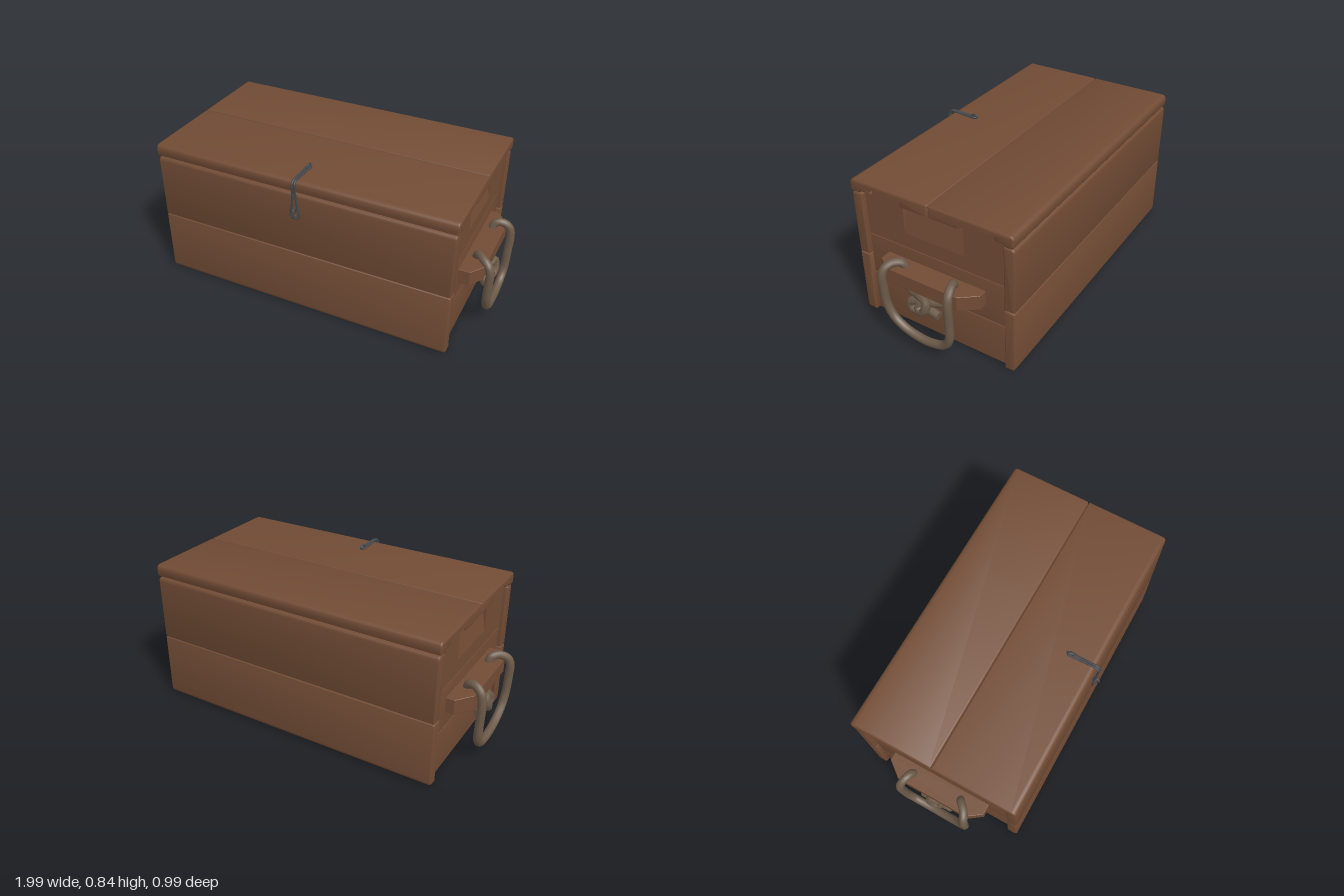
import * as THREE from 'three';
import { toCreasedNormals } from 'three/addons/utils/BufferGeometryUtils.js';

const mat = (name, color) => {
  const m = new THREE.MeshStandardMaterial({ color });
  m.name = name;
  return m;
};

// Closed outline from [x, y, cornerRadius] points
function outline(points) {
  const shape = new THREE.Shape();
  const n = points.length;
  points.forEach(([x, y, r = 0], i) => {
    const p = new THREE.Vector2(x, y);
    const toward = (q) => new THREE.Vector2(q[0], q[1]).sub(p).setLength(r).add(p);
    const a = r ? toward(points[(i + n - 1) % n]) : p;
    const b = r ? toward(points[(i + 1) % n]) : p;
    if (i === 0) shape.moveTo(a.x, a.y);
    else shape.lineTo(a.x, a.y);
    if (r) shape.quadraticCurveTo(x, y, b.x, b.y);
  });
  shape.closePath();
  return shape;
}

// Extrusion whose outer size stays exact when bevelled
function slab(points, length, bevel = 0) {
  const g = new THREE.ExtrudeGeometry(outline(points), {
    depth: length - 2 * bevel, curveSegments: 4, bevelEnabled: bevel > 0,
    bevelSize: bevel, bevelThickness: bevel, bevelOffset: -bevel, bevelSegments: 3,
  });
  return g.translate(0, 0, bevel);
}

// Profile of [z, y, radius] points swept along x, centred on cx
function alongX(points, length, bevel, cx = 0) {
  const g = slab(points.map(([z, y, r]) => [-z, y, r]), length, bevel);
  return toCreasedNormals(g.translate(0, 0, -length / 2).rotateY(Math.PI / 2).translate(cx, 0, 0), 0.6);
}

export function createModel() {
  const model = new THREE.Group();
  model.name = 'chest';
  const wood = mat('wood', 0x724c35);
  const rope = mat('rope', 0x6c5a49);
  const iron = mat('iron', 0x43484c);

  const add = (name, geometry, material, parent = model) => {
    const mesh = new THREE.Mesh(geometry, material);
    mesh.name = name;
    parent.add(mesh);
    return mesh;
  };
  const tube = (name, pts, radius, material, parent, closed = false, segments = 90) => {
    const curve = new THREE.CatmullRomCurve3(pts.map((p) => new THREE.Vector3(...p)), closed, 'centripetal');
    add(name, new THREE.TubeGeometry(curve, segments, radius, 9, closed), material, parent);
    if (closed) return;
    // Flat cut ends
    for (const t of [0, 1]) {
      const cap = add(name + 'End', new THREE.CircleGeometry(radius, 9), material, parent);
      const dir = curve.getTangentAt(t).multiplyScalar(t ? 1 : -1);
      cap.position.copy(curve.getPointAt(t));
      cap.quaternion.setFromUnitVectors(new THREE.Vector3(0, 0, 1), dir);
    }
  };

  // Front and back walls, two planks each, rounded on the outside
  for (const [name, inner, outer] of [['frontPlank', 0.392, 0.455], ['backPlank', -0.432, -0.492]]) {
    add(name + 'Lower', alongX([[inner, 0.004, 0.006], [outer, 0.004, 0.025], [outer, 0.374, 0.008], [inner, 0.374, 0.004]], 1.7, 0.012), wood);
    add(name + 'Upper', alongX([[inner, 0.377, 0.004], [outer, 0.377, 0.008], [outer, 0.745, 0.022], [inner, 0.745, 0.006]], 1.7, 0.012), wood);
  }

  // Bottom board
  const bottom = add('bottomBoard', new THREE.BoxGeometry(1.6, 0.05, 0.84), wood);
  bottom.position.set(0, 0.037, -0.02);

  // Lid planks, notched underneath to sit on the tabs of the end walls
  add('lidFrontPlank', alongX([
    [-0.018, 0.752, 0.006], [0.154, 0.752, 0.006], [0.154, 0.787, 0.006], [0.347, 0.787, 0.006],
    [0.347, 0.762, 0.006], [0.39, 0.762], [0.4, 0.75, 0.006], [0.455, 0.75, 0.02], [0.455, 0.82, 0.028], [-0.018, 0.82, 0.008],
  ], 1.71, 0.01), wood);
  add('lidBackPlank', alongX([
    [-0.022, 0.752, 0.006], [-0.198, 0.752, 0.006], [-0.198, 0.787, 0.006], [-0.388, 0.787, 0.006],
    [-0.388, 0.762, 0.006], [-0.43, 0.762], [-0.44, 0.75, 0.006], [-0.492, 0.75, 0.02], [-0.492, 0.82, 0.028], [-0.022, 0.82, 0.008],
  ], 1.71, 0.01), wood);

  // End walls and rope handles, built for each side
  for (const s of [1, -1]) {
    const end = new THREE.Group();
    end.name = s > 0 ? 'leftEnd' : 'rightEnd';
    model.add(end);
    const cx = s * 0.795;

    for (const [y0, y1] of [[0.008, 0.249], [0.252, 0.498]]) {
      add('endPlank', alongX([[0.39, y0], [0.39, y1], [-0.43, y1], [-0.43, y0]], 0.06, 0.003, cx), wood, end);
    }
    // Top plank: two tabs with a finger scoop sloping inwards between them
    add('frontTab', alongX([[0.39, 0.501], [0.39, 0.745], [0.343, 0.745], [0.343, 0.785, 0.008], [0.155, 0.785, 0.008], [0.155, 0.501]], 0.06, 0, cx), wood, end);
    add('backTab', alongX([[-0.43, 0.501], [-0.43, 0.745], [-0.384, 0.745], [-0.384, 0.785, 0.008], [-0.2, 0.785, 0.008], [-0.2, 0.501]], 0.06, 0, cx), wood, end);
    const scoop = [[0.765, 0.501], [0.825, 0.501], [0.825, 0.585], [0.79, 0.755], [0.765, 0.755]];
    add('fingerScoop', slab(scoop.map(([x, y]) => [s * x, y]), 0.355).translate(0, 0, -0.2), wood, end);

    // Handle bar with tapered ends
    const bar = [[0.82, 0.275], [0.885, 0.275], [0.938, 0.2], [0.938, -0.225], [0.87, -0.314], [0.82, -0.314]];
    add('handleBar', slab(bar.map(([x, z]) => [s * x, -z]), 0.084, 0.004).rotateX(-Math.PI / 2).translate(0, 0.342, 0), wood, end);

    // Rope: from the tail through the knot, up over the bar, round the loop and back
    const path = [
      [0.92, 0.24, -0.1], [0.92, 0.25, -0.04], [0.92, 0.22, 0.02], [0.92, 0.222, 0.065], [0.92, 0.255, 0.075],
      [0.915, 0.28, 0.03], [0.9, 0.285, -0.04], [0.885, 0.305, -0.12], [0.875, 0.335, -0.16], [0.872, 0.41, -0.162],
      [0.885, 0.45, -0.172], [0.92, 0.457, -0.183], [0.958, 0.43, -0.194], [0.97, 0.38, -0.197], [0.968, 0.27, -0.195],
      [0.964, 0.16, -0.188], [0.96, 0.105, -0.15], [0.958, 0.078, -0.07], [0.958, 0.076, -0.01], [0.96, 0.1, 0.085],
      [0.963, 0.15, 0.155], [0.967, 0.22, 0.19], [0.97, 0.32, 0.2], [0.97, 0.4, 0.2], [0.955, 0.435, 0.195],
      [0.92, 0.455, 0.175], [0.885, 0.45, 0.14], [0.872, 0.41, 0.128], [0.873, 0.345, 0.14], [0.885, 0.317, 0.11],
      [0.9, 0.302, 0.05], [0.925, 0.316, 0], [0.935, 0.315, -0.035], [0.945, 0.27, -0.035], [0.94, 0.235, -0.005],
      [0.93, 0.25, 0.02], [0.92, 0.29, 0.012],
    ];
    tube('handleRope', path.map(([x, y, z]) => [s * x, y, z]), 0.023, rope, end, false, 150);
  }

  // Wire clasp: a doubled wire over the lid edge, widening into a loop in front
  const clasp = new THREE.Group();
  clasp.name = 'clasp';
  model.add(clasp);
  const half = [
    [0.008, 0.826, 0.295], [0.007, 0.825, 0.36], [0.006, 0.828, 0.455], [0.007, 0.815, 0.474],
    [0.008, 0.76, 0.473], [0.014, 0.69, 0.469], [0.025, 0.63, 0.467], [0.02, 0.61, 0.467],
  ];
  const otherHalf = half.map(([x, y, z]) => [-x, y, z]).reverse();
  tube('claspWire', [...half, ...otherHalf], 0.006, iron, clasp, true, 90);

  // Staples holding the wire, on the lid and on the front
  const staple = (name, y, z, sy, sz) => tube(name, [
    [0, y - sy, z - sz * 0.6], [0, y - sy, z + sz * 0.6], [0, y, z + sz],
    [0, y + sy, z + sz * 0.6], [0, y + sy, z - sz * 0.6], [0, y, z - sz],
  ], 0.005, iron, clasp, true, 30);
  staple('lidStaple', 0.827, 0.305, 0.013, 0.017);
  staple('frontStaple', 0.642, 0.473, 0.021, 0.018);

  return model;
}
